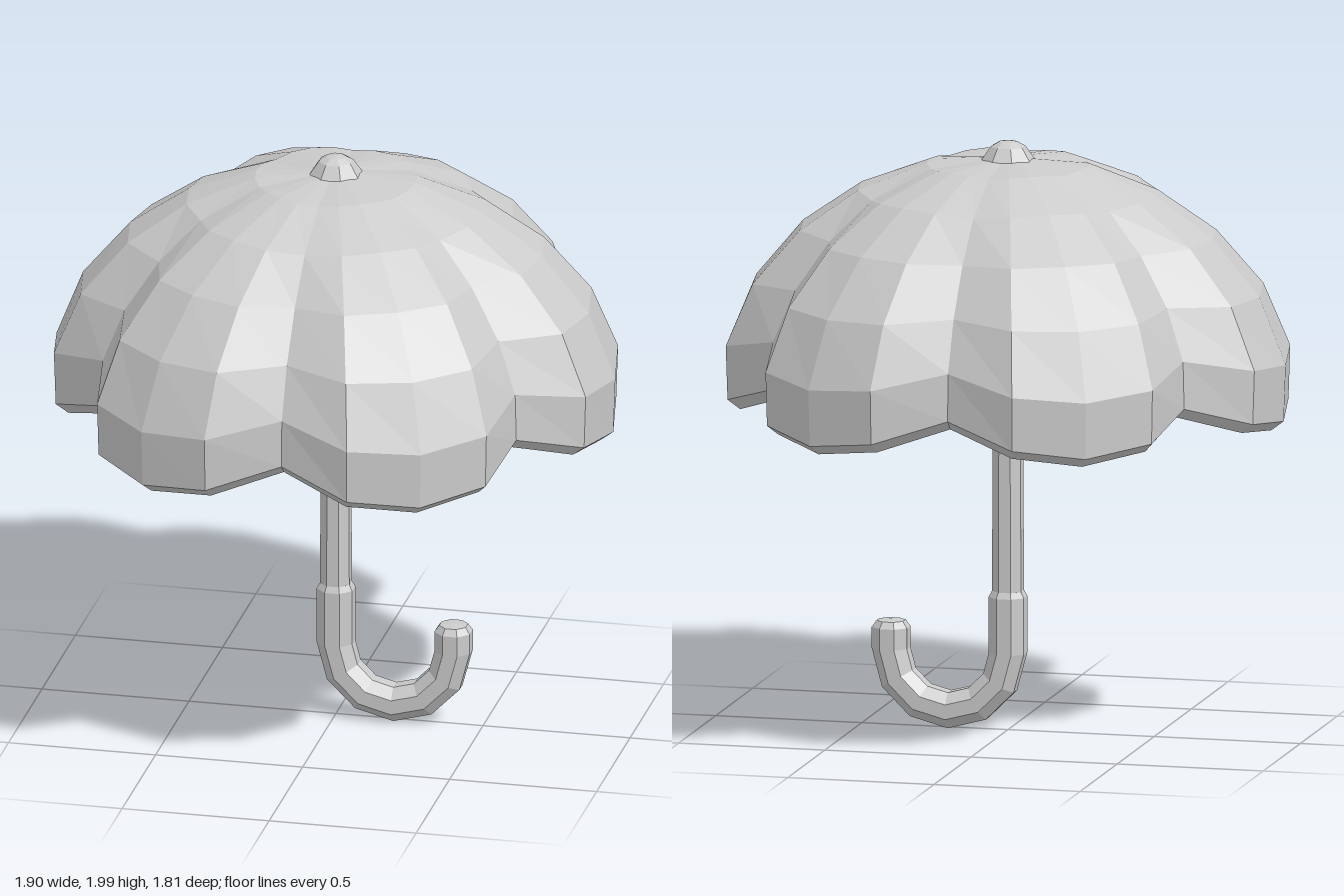
import * as THREE from 'three';

const material = new THREE.MeshStandardMaterial({ color: 0xcccccc, flatShading: true });

// Skin a list of rings (each an array of Vector3, same count) into a faceted surface.
function loft(name, rings) {
  const n = rings[0].length, pos = [], index = [];
  rings.forEach(ring => ring.forEach(p => pos.push(p.x, p.y, p.z)));
  for (let i = 0; i < rings.length - 1; i++) {
    for (let k = 0; k < n; k++) {
      const a = i * n + k, b = i * n + (k + 1) % n;
      index.push(a, b, a + n, b, b + n, a + n);
    }
  }
  const geo = new THREE.BufferGeometry();
  geo.setAttribute('position', new THREE.Float32BufferAttribute(pos, 3));
  geo.setIndex(index);
  const flat = geo.toNonIndexed();
  flat.computeVertexNormals();
  const mesh = new THREE.Mesh(flat, material);
  mesh.name = name;
  return mesh;
}

// Eight-sided ring around (x, y), square to the direction (dx, dy) in the xy plane.
function ring(x, y, r, dx = 0, dy = -1) {
  return Array.from({ length: 8 }, (_, k) => {
    const t = (k + 0.5) * Math.PI / 4, R = r / Math.cos(Math.PI / 8);
    const c = Math.cos(t) * R;
    return new THREE.Vector3(x - dy * c, y + dx * c, Math.sin(t) * R);
  });
}

// Six-lobed canopy: each row is [lobe radius, lobe y, valley radius, valley y].
function createCanopy() {
  const rows = [
    [0, 1.945, 0, 1.945],
    [0.27, 1.925, 0.265, 1.915],
    [0.5, 1.838, 0.47, 1.82],
    [0.7, 1.7, 0.615, 1.69],
    [0.86, 1.51, 0.735, 1.53],
    [0.95, 1.285, 0.81, 1.36],
    [0.943, 1.095, 0.815, 1.2],
  ];
  const canopyRing = ([r0, y0, r1, y1], scale, drop) =>
    Array.from({ length: 24 }, (_, k) => {
      const t = k * Math.PI / 12;
      const valley = k % 4 === 2, shoulder = k % 2 === 1;
      const r = THREE.MathUtils.lerp(r0, r1, valley ? 1 : shoulder ? 0.1 : 0) * scale;
      const y = THREE.MathUtils.lerp(y0, y1, valley ? 1 : shoulder ? 0.3 : 0) - drop;
      return new THREE.Vector3(Math.cos(t) * r, y, Math.sin(t) * r);
    });
  const outer = rows.map(row => canopyRing(row, 1, 0));
  const inner = rows.map(row => canopyRing(row, 0.955, 0.032)).reverse();
  return loft('canopy', [...outer, ...inner]);
}

// Hooked handle: bevelled collar, straight grip, half-circle bend, rounded tip.
function createHandle() {
  const rings = [ring(0, 0.48, 0), ring(0, 0.48, 0.05), ring(0, 0.46, 0.06)];
  for (let i = 0; i <= 6; i++) {
    const t = Math.PI + i * Math.PI / 6, c = Math.cos(t), s = Math.sin(t);
    rings.push(ring(0.2 + 0.2 * c, 0.27 + 0.2 * s, 0.06, -s, c));
  }
  rings.push(ring(0.4, 0.34, 0.06, 0, 1), ring(0.4, 0.362, 0.045, 0, 1), ring(0.4, 0.366, 0, 0, 1));
  return loft('handle', rings);
}

export function createModel() {
  const group = new THREE.Group();
  group.name = 'umbrella';
  group.add(createCanopy());
  group.add(loft('shaft', [ring(0, 1.93, 0.042), ring(0, 0.46, 0.05)]));
  group.add(createHandle());

  // Cap on top of the canopy
  group.add(loft('finial', [
    ring(0, 2, 0), ring(0, 1.995, 0.03), ring(0, 1.98, 0.054), ring(0, 1.935, 0.083), ring(0, 1.92, 0.083),
  ]));
  return group;
}
